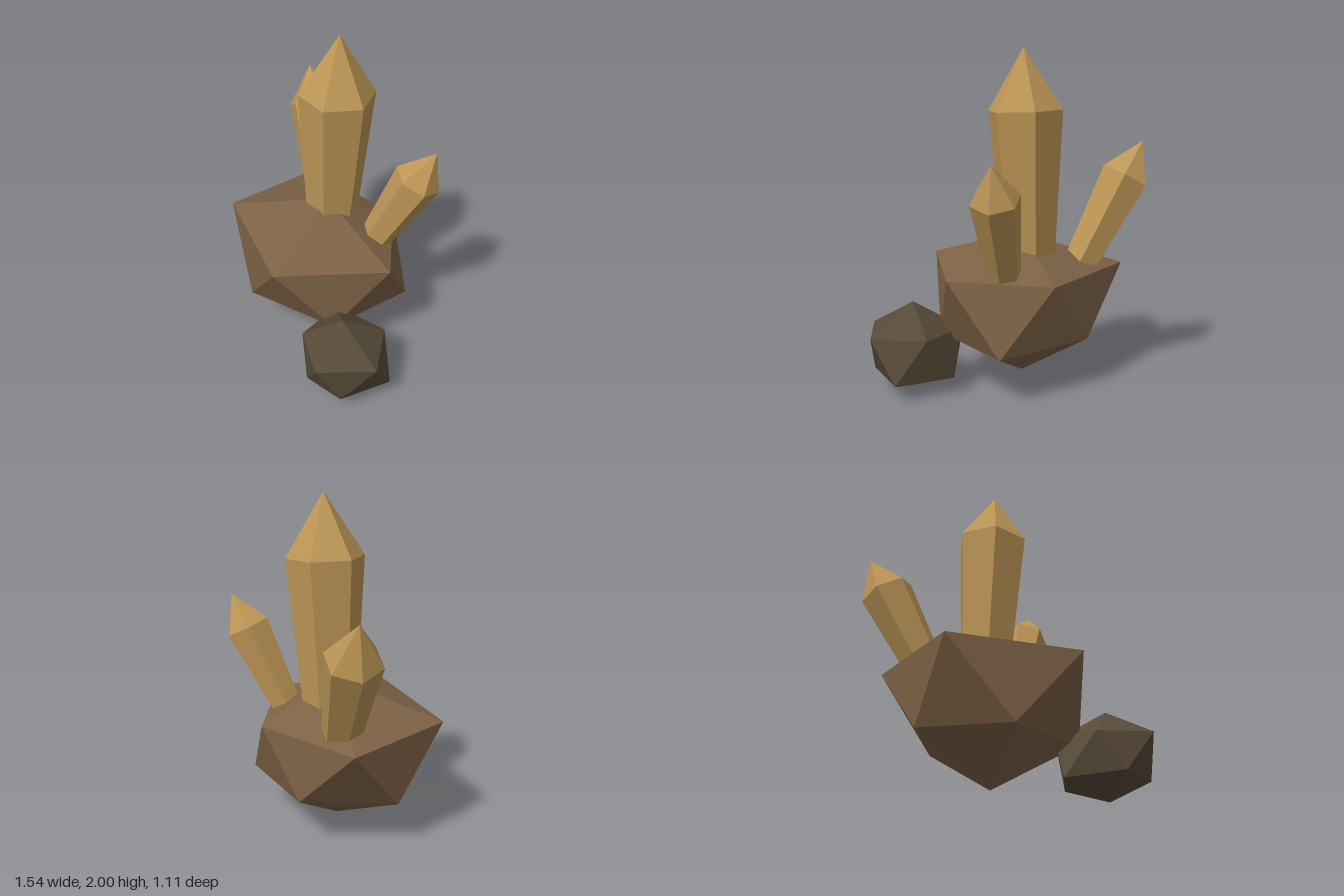
import * as THREE from 'three';

const V = (a) => new THREE.Vector3(...a);

// Irregular twenty-sided rock: top point, two staggered rings of five, bottom point
function rock(name, material, top, upper, lower, bottom) {
  const pos = [];
  for (let i = 0; i < 5; i++) {
    const j = (i + 1) % 5;
    pos.push(...top, ...upper[i], ...upper[j]);
    pos.push(...upper[i], ...lower[i], ...upper[j]);
    pos.push(...lower[i], ...lower[j], ...upper[j]);
    pos.push(...bottom, ...lower[j], ...lower[i]);
  }
  const g = new THREE.BufferGeometry();
  g.setAttribute('position', new THREE.Float32BufferAttribute(pos, 3));
  g.computeVertexNormals();
  const mesh = new THREE.Mesh(g, material);
  mesh.name = name;
  return mesh;
}

// Six-sided crystal that widens to a shoulder, then narrows to a point
function crystal(name, material, base, tip, shoulder, rBase, rShoulder, turn) {
  const axis = V(tip).sub(V(base));
  const h = axis.length();
  const profile = [[0, 0], [rBase, 0], [rShoulder, h * shoulder], [0, h]]
    .map(([r, y]) => new THREE.Vector2(r, y));
  const start = Math.PI / 2 - THREE.MathUtils.degToRad(turn);
  const g = new THREE.LatheGeometry(profile, 6, start).toNonIndexed();
  g.computeVertexNormals();
  const mesh = new THREE.Mesh(g, material);
  mesh.name = name;
  mesh.position.set(...base);
  mesh.quaternion.setFromUnitVectors(new THREE.Vector3(0, 1, 0), axis.normalize());
  return mesh;
}

export function createModel() {
  const mat = (name, color) => {
    const m = new THREE.MeshStandardMaterial({ color, flatShading: true });
    m.name = name;
    return m;
  };
  const amber = mat('amber crystal', 0xbd9656);
  const brown = mat('brown stone', 0x7d6245);
  const dark = mat('dark stone', 0x574a38);

  const model = new THREE.Group();
  model.name = 'crystalCluster';

  // Stones
  model.add(rock('baseRock', brown, [-0.08, 0.92, -0.06],
    [[-0.64, 0.73, 0.28], [0.11, 0.74, 0.51], [0.49, 0.71, -0.06], [0.06, 0.68, -0.49], [-0.64, 0.70, -0.385]],
    [[-0.28, 0.28, 0.41], [0.31, 0.31, 0.22], [0.35, 0.29, -0.35], [-0.25, 0.31, -0.46], [-0.61, 0.30, -0.03]],
    [-0.10, 0.05, -0.06]));
  model.add(rock('smallRock', dark, [0.465, 0.52, 0.285],
    [[0.26, 0.34, 0.42], [0.56, 0.355, 0.56], [0.77, 0.35, 0.285], [0.56, 0.355, 0.03], [0.22, 0.35, 0.12]],
    [[0.40, 0.13, 0.50], [0.64, 0.11, 0.44], [0.72, 0.10, 0.12], [0.38, 0.10, 0.01], [0.14, 0.09, 0.28]],
    [0.465, 0, 0.285]));

  // Crystals, rooted inside the base rock
  model.add(crystal('tallCrystal', amber, [-0.108, 0.70, -0.115], [-0.05, 2, -0.115], 0.725, 0.153, 0.225, 0));
  model.add(crystal('rightCrystal', amber, [-0.368, 0.67, -0.258], [-0.74, 1.45, -0.45], 0.725, 0.108, 0.16, 23));
  model.add(crystal('leftCrystal', amber, [0.178, 0.684, -0.207], [0.46, 1.38, -0.405], 0.725, 0.095, 0.143, 28));

  return model;
}
